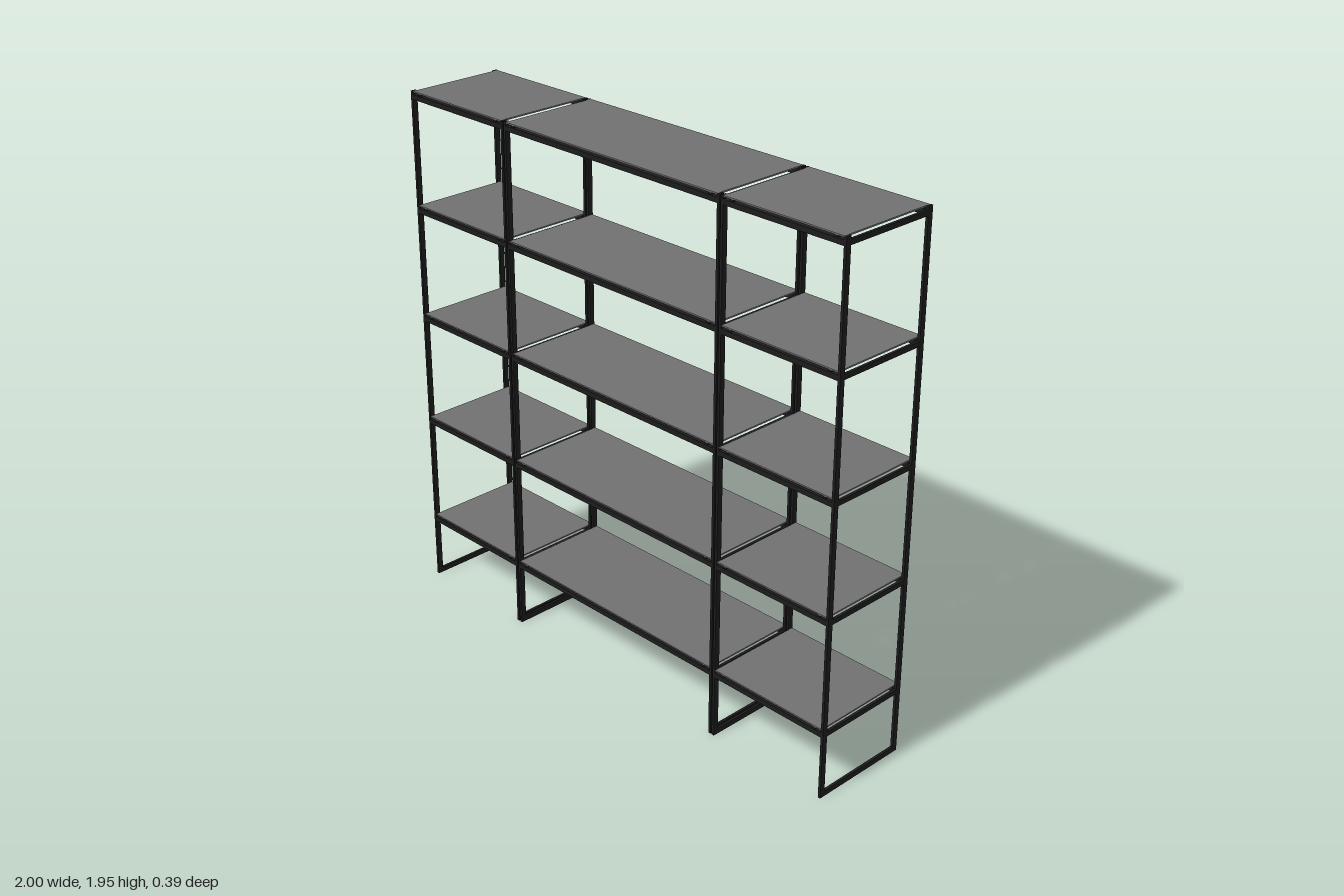
import * as THREE from 'three';

const HEIGHT = 1.945, HALF_DEPTH = 0.193;
const BAR_X = 0.01, BAR_Z = 0.02;   // flat steel bar section
const SHELF_TOPS = [0.265, 0.685, 1.105, 1.525, 1.945];

const steel = new THREE.MeshStandardMaterial({ color: 0x1c1c1c });
const board = new THREE.MeshStandardMaterial({ color: 0x707070 });

// Box given by its min and max corners
function block(parent, name, material, [x0, y0, z0], [x1, y1, z1]) {
  const mesh = new THREE.Mesh(new THREE.BoxGeometry(x1 - x0, y1 - y0, z1 - z0), material);
  mesh.position.set((x0 + x1) / 2, (y0 + y1) / 2, (z0 + z1) / 2);
  mesh.name = name;
  parent.add(mesh);
}

// Upright rectangular frame: two posts, a floor bar and a bar under each shelf
function endFrame(parent, x0) {
  const frame = new THREE.Group();
  frame.name = 'endFrame';
  const x1 = x0 + BAR_X, inner = HALF_DEPTH - BAR_Z;
  block(frame, 'frontPost', steel, [x0, 0, inner], [x1, HEIGHT, HALF_DEPTH]);
  block(frame, 'backPost', steel, [x0, 0, -HALF_DEPTH], [x1, HEIGHT, -inner]);
  block(frame, 'floorBar', steel, [x0, 0, -inner], [x1, 0.02, inner]);
  for (const top of SHELF_TOPS) {
    block(frame, 'crossBar', steel, [x0, top - 0.03, -inner], [x1, top - 0.012, inner]);
  }
  parent.add(frame);
}

// Shelf: thin panel held on small pads above a front and a back rail
function shelf(parent, x0, x1, top) {
  const group = new THREE.Group();
  group.name = 'shelf';
  const a = x0 + BAR_X, b = x1 - BAR_X;
  block(group, 'panel', board, [a, top - 0.005, -HALF_DEPTH + 0.002], [b, top, HALF_DEPTH - 0.002]);
  for (const side of [-1, 1]) {
    const z = side * (HALF_DEPTH - BAR_Z / 2);
    block(group, 'rail', steel, [a, top - 0.03, z - BAR_Z / 2], [b, top - 0.012, z + BAR_Z / 2]);
    for (const x of [x0 + 0.043, x1 - 0.043]) {
      block(group, 'pad', steel, [x - 0.006, top - 0.012, z - 0.006], [x + 0.006, top - 0.005, z + 0.006]);
    }
  }
  parent.add(group);
}

export function createModel() {
  const model = new THREE.Group();
  model.name = 'shelvingUnit';
  // Three bays side by side: narrow, wide, narrow
  for (const [x0, x1] of [[-1, -0.506], [-0.5, 0.5], [0.506, 1]]) {
    const bay = new THREE.Group();
    bay.name = 'bay';
    endFrame(bay, x0);
    endFrame(bay, x1 - BAR_X);
    for (const top of SHELF_TOPS) shelf(bay, x0, x1, top);
    model.add(bay);
  }
  return model;
}
